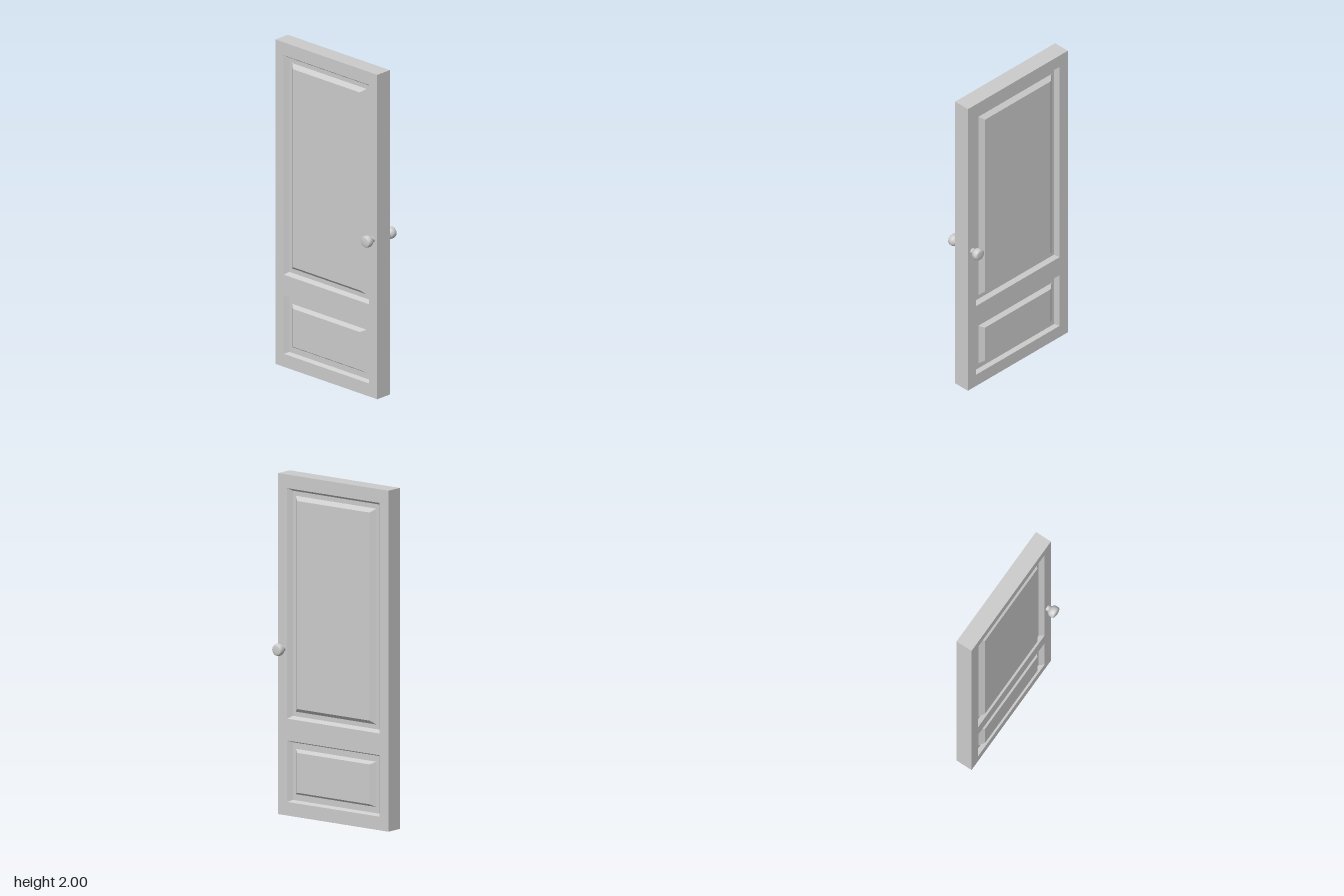
import * as THREE from 'three';

const HALF_T = 0.052, HALF_W = 0.405, HEIGHT = 2, RECESS = 0.025;
const material = new THREE.MeshStandardMaterial({ color: 0xcccccc });

// Joins successive rectangles [halfWidth, yLow, yHigh, z] with flat quads
function loftRects(rects, capped) {
  const rings = rects.map(([w, lo, hi, z]) => [[-w, lo, z], [w, lo, z], [w, hi, z], [-w, hi, z]]);
  const pos = [];
  const quad = (a, b, c, d) => pos.push(...a, ...b, ...c, ...a, ...c, ...d);
  for (let r = 0; r + 1 < rings.length; r++) {
    const a = rings[r], b = rings[r + 1];
    for (let i = 0; i < 4; i++) {
      const j = (i + 1) % 4;
      quad(a[i], a[j], b[j], b[i]);
    }
  }
  if (capped) quad(...rings[rings.length - 1]);
  const geo = new THREE.BufferGeometry();
  geo.setAttribute('position', new THREE.Float32BufferAttribute(pos, 3));
  geo.computeVertexNormals();
  return geo;
}

function rectPath(path, w, lo, hi) {
  path.moveTo(-w, lo);
  path.lineTo(w, lo);
  path.lineTo(w, hi);
  path.lineTo(-w, hi);
  path.closePath();
  return path;
}

function addMesh(parent, name, geo) {
  const mesh = new THREE.Mesh(geo, material);
  mesh.name = name;
  parent.add(mesh);
  return mesh;
}

// y range of each opening, and the y insets of its three inner rectangles
const PANELS = [
  { name: 'upperPanel', lo: 0.568, hi: 1.92, insets: [0.016, 0.043, 0.066] },
  { name: 'lowerPanel', lo: 0.08, hi: 0.44, insets: [0.011, 0.047, 0.063] },
];
const PANEL_W = [0.339, 0.317, 0.296, 0.266];

// One face of the door: flat frame, sunken moulding and raised fields
function createFace() {
  const face = new THREE.Group();
  const shape = rectPath(new THREE.Shape(), HALF_W, 0, HEIGHT);
  for (const { name, lo, hi, insets } of PANELS) {
    shape.holes.push(rectPath(new THREE.Path(), PANEL_W[0], lo, hi));
    const rects = [0, ...insets].map((d, i) => {
      const z = i === 1 || i === 2 ? HALF_T - RECESS : HALF_T;
      return [PANEL_W[i], lo + d, hi - d, z];
    });
    addMesh(face, name, loftRects(rects, true));
  }
  addMesh(face, 'frame', new THREE.ShapeGeometry(shape)).position.z = HALF_T;
  return face;
}

// Knob profile: narrow neck, flared barrel, slightly domed end
function createKnobGeometry() {
  const curve = new THREE.SplineCurve([
    [0.018, 0], [0.018, 0.011], [0.023, 0.02], [0.032, 0.029],
    [0.0355, 0.039], [0.0355, 0.05], [0.033, 0.06], [0.028, 0.0645],
    [0.015, 0.067], [0, 0.0675],
  ].map(([r, h]) => new THREE.Vector2(r, h)));
  const points = curve.getPoints(27);
  points.forEach(p => { p.x = Math.max(p.x, 0); });
  return new THREE.LatheGeometry(points, 32);
}

export function createModel() {
  const door = new THREE.Group();
  door.name = 'door';

  // Outer edges of the slab
  const rim = loftRects([[HALF_W, 0, HEIGHT, -HALF_T], [HALF_W, 0, HEIGHT, HALF_T]], false);
  addMesh(door, 'slabEdges', rim).rotation.y = Math.PI / 2;

  const knobGeo = createKnobGeometry();
  for (const side of [1, -1]) {
    const label = side > 0 ? 'left' : 'right';
    const face = createFace();
    face.name = label + 'Face';
    face.rotation.y = side * Math.PI / 2;
    door.add(face);

    const knob = addMesh(door, label + 'Knob', knobGeo);
    knob.position.set(side * HALF_T, 0.976, 0.368);
    knob.rotation.z = -side * Math.PI / 2;
  }
  return door;
}
